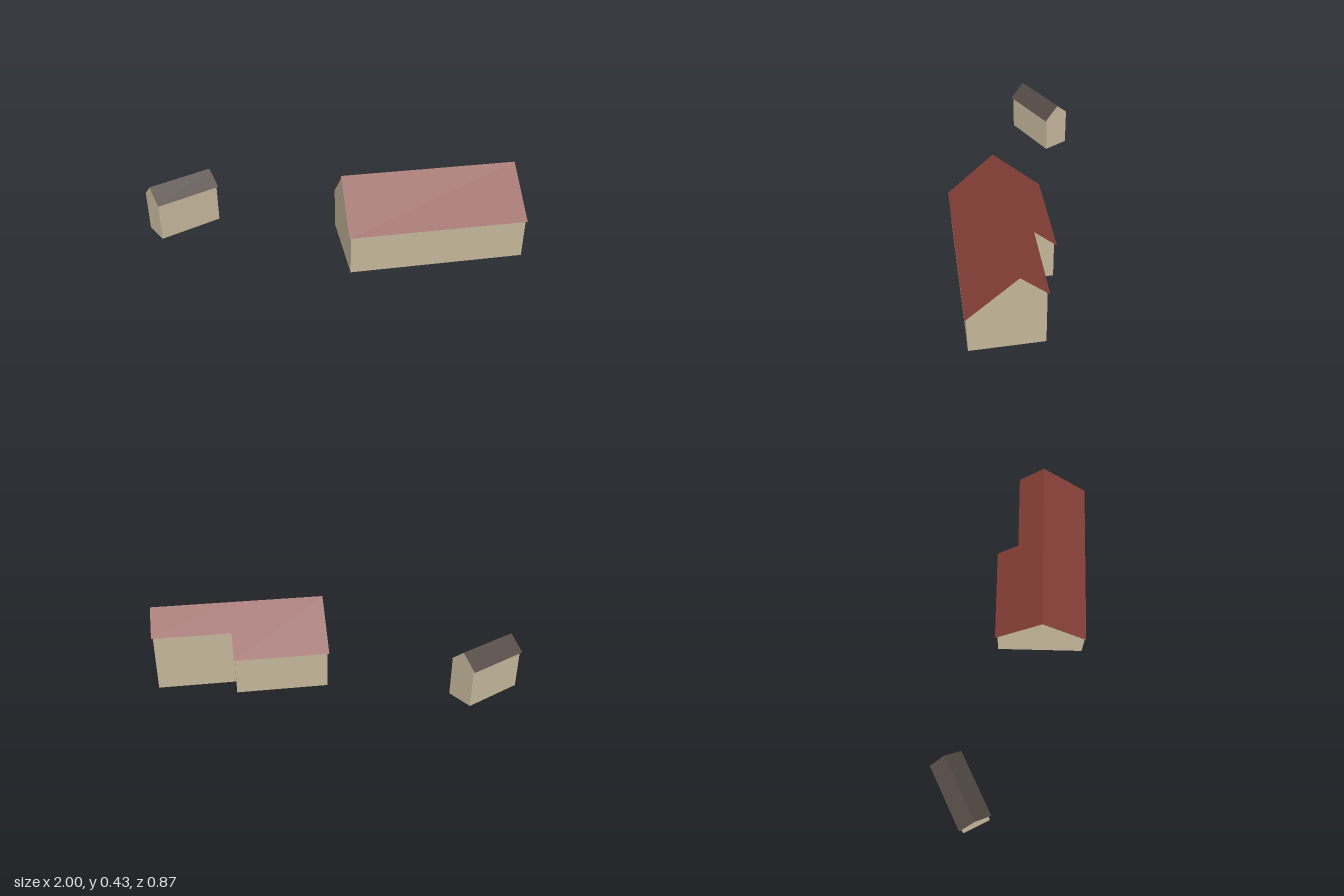
import * as THREE from 'three';

const paint = (name, color) => {
  const m = new THREE.MeshStandardMaterial({ color, side: THREE.DoubleSide });
  m.name = name;
  return m;
};

// Flat-sided mesh from a list of four-cornered panels
function panels(name, quads, material) {
  const pos = [];
  for (const [a, b, c, d] of quads) pos.push(...a, ...b, ...c, ...a, ...c, ...d);
  const g = new THREE.BufferGeometry();
  g.setAttribute('position', new THREE.Float32BufferAttribute(pos, 3));
  g.computeVertexNormals();
  const mesh = new THREE.Mesh(g, material);
  mesh.name = name;
  return mesh;
}

// Gabled building: ridge runs along local x at z = 0, open underneath.
// footprint holds [x, z] wall corners, anticlockwise from above, with the gable
// peaks (z = 0) included; slopes holds [x0, x1, eaveZ] for each roof plane.
function building(name, { base, ridge, pitch, footprint, slopes, wall, roof }) {
  const height = z => ridge - pitch * Math.abs(z);
  const walls = footprint.map(([x, z], i) => {
    const [x2, z2] = footprint[(i + 1) % footprint.length];
    return [[x, base, z], [x2, base, z2], [x2, height(z2), z2], [x, height(z), z]];
  });
  const planes = slopes.map(([x0, x1, z]) => {
    const [a, b] = z > 0 ? [x0, x1] : [x1, x0];
    return [[a, height(z), z], [b, height(z), z], [b, ridge, 0], [a, ridge, 0]];
  });
  const group = new THREE.Group();
  group.name = name;
  group.add(panels('walls', walls, wall), panels('roof', planes, roof));
  return group;
}

export function createModel() {
  const wall = paint('tan wall', 0xc2b499);
  const red = paint('red roof', 0x843f37);
  const dark = paint('dark roof', 0x544a44);
  const model = new THREE.Group();
  model.name = 'farmBuildings';

  // Long house, with a deeper left half at the back
  const house = building('house', {
    base: 0.004, ridge: 0.432, pitch: 0.9, wall, roof: red,
    footprint: [
      [0.008, 0.24], [0.918, 0.24], [0.918, 0], [0.918, -0.122],
      [0.5, -0.122], [0.5, -0.234], [0.008, -0.234], [0.008, 0],
    ],
    slopes: [[0, 0.926, 0.246], [0, 0.507, -0.248], [0.507, 0.926, -0.133]],
  });
  house.position.set(0.076, 0, 0.155);
  house.rotation.y = THREE.MathUtils.degToRad(30.85);

  // Small shed
  const shed = building('shed', {
    base: 0, ridge: 0.288, pitch: 0.89, wall, roof: dark,
    footprint: [
      [-0.175, 0.076], [0.175, 0.076], [0.175, 0],
      [0.175, -0.076], [-0.175, -0.076], [-0.175, 0],
    ],
    slopes: [[-0.18, 0.18, 0.088], [-0.18, 0.18, -0.088]],
  });
  shed.position.set(-0.831, 0, 0.235);
  shed.rotation.y = THREE.MathUtils.degToRad(58.1);

  model.add(house, shed);
  return model;
}
